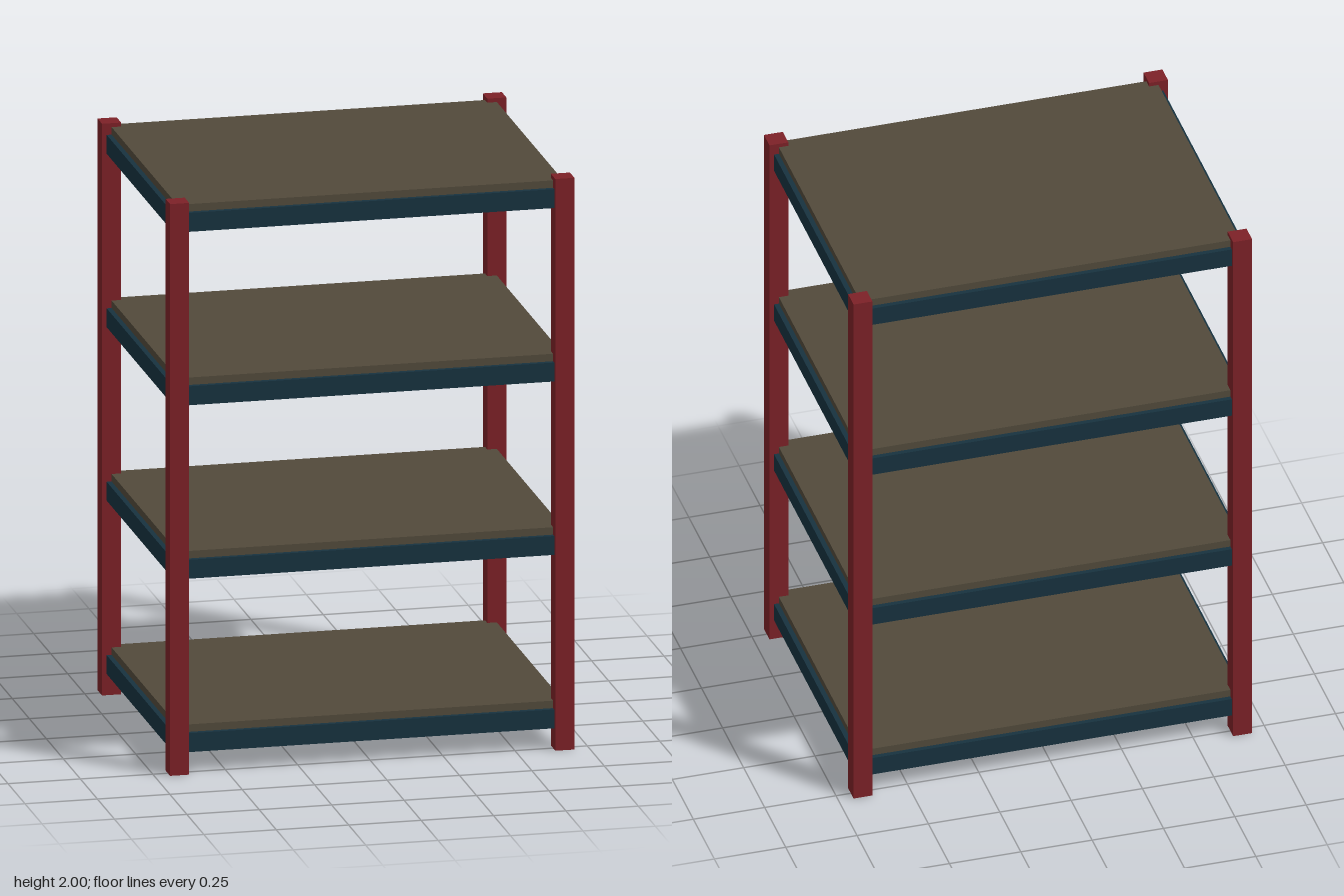
import * as THREE from 'three';

const POST = 0.066, HX = 0.665, HZ = 0.5; // post width and post centre offsets
const BEAM_W = 0.034, BEAM_H = 0.066, BOARD = 0.026;

function box(name, color, size, pos) {
  const mesh = new THREE.Mesh(
    new THREE.BoxGeometry(...size),
    new THREE.MeshStandardMaterial({ color })
  );
  mesh.name = name;
  mesh.position.set(...pos);
  return mesh;
}

export function createModel() {
  const rack = new THREE.Group();
  rack.name = 'shelvingRack';
  const red = 0x7d2127, blue = 0x17323f, brown = 0x524a3b;

  // Corner posts
  for (const sx of [-1, 1])
    for (const sz of [-1, 1])
      rack.add(box(`${sz > 0 ? 'front' : 'back'}${sx > 0 ? 'Left' : 'Right'}Post`, red,
        [POST, 2, POST], [sx * HX, 1, sz * HZ]));

  // Four levels, each a frame of beams carrying a board
  for (let i = 0; i < 4; i++) {
    const level = new THREE.Group();
    level.name = `shelfLevel${i + 1}`;
    level.position.y = 0.107 + i * 0.6067;
    for (const s of [-1, 1]) {
      level.add(box(s > 0 ? 'frontBeam' : 'backBeam', blue,
        [2 * HX - POST, BEAM_H, BEAM_W], [0, 0, s * HZ]));
      level.add(box(s > 0 ? 'leftBeam' : 'rightBeam', blue,
        [BEAM_W, BEAM_H, 2 * HZ - POST], [s * HX, 0, 0]));
    }
    level.add(box('shelfBoard', brown, [2 * HX, BOARD, 2 * HZ], [0, (BEAM_H + BOARD) / 2, 0]));
    rack.add(level);
  }
  return rack;
}
